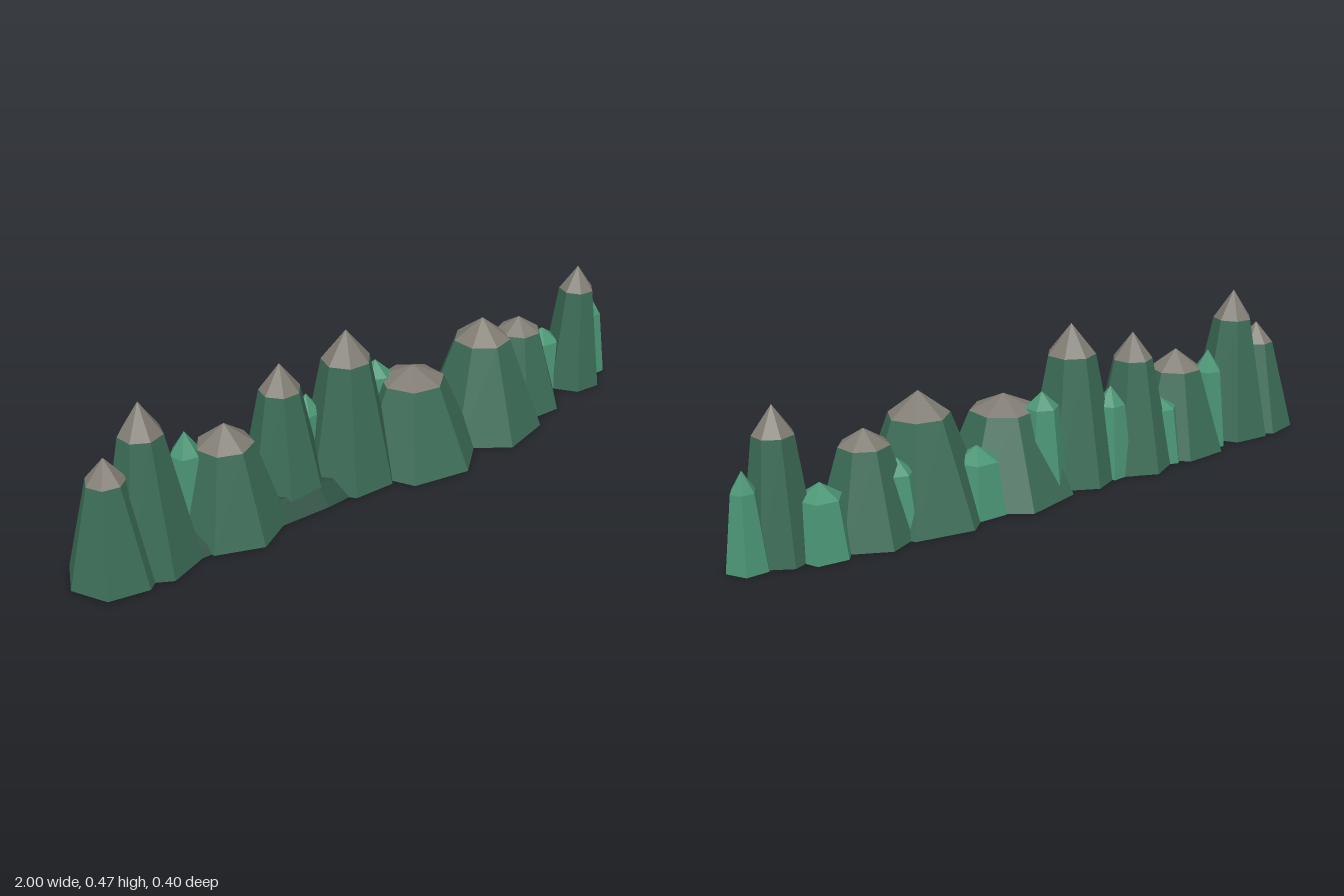
import * as THREE from 'three';

export function createModel() {
  const mat = (name, color) => {
    const m = new THREE.MeshStandardMaterial({ color, flatShading: true, side: THREE.DoubleSide });
    m.name = name;
    return m;
  };
  const forest = mat('forestGreen', 0x3b6b56);
  const light = mat('lightGreen', 0x4a9474);
  const rock = mat('greyRock', 0x807c73);
  const dark = mat('darkGreen', 0x2a4f40);

  const range = new THREE.Group();
  range.name = 'mountainRange';

  // Open flared slope with a matching faceted cap on top
  function peak(name, [x, z, height, shoulderY, shoulderR, baseR, turn], sides, slopeMat, capMat) {
    const group = new THREE.Group();
    group.name = name;
    const slope = new THREE.Mesh(
      new THREE.CylinderGeometry(shoulderR, baseR, shoulderY, sides, 1, true), slopeMat);
    slope.name = 'slope';
    slope.position.y = shoulderY / 2;
    const capH = height - shoulderY;
    const cap = new THREE.Mesh(new THREE.ConeGeometry(shoulderR, capH, sides, 1, true), capMat);
    cap.name = 'cap';
    cap.position.y = shoulderY + capH / 2;
    group.add(slope, cap);
    group.position.set(x, 0, z);
    group.rotation.y = turn;
    range.add(group);
  }

  // Main mountains: x, z, height, shoulder height, shoulder radius, base radius, turn
  [
    [-0.87, -0.03, 0.345, 0.28, 0.055, 0.13, -Math.PI / 2],
    [-0.76, -0.03, 0.465, 0.375, 0.06, 0.135, -0.1],
    [-0.515, -0.03, 0.315, 0.255, 0.08, 0.16, 0.05],
    [-0.305, -0.065, 0.41, 0.33, 0.06, 0.13, 0.45],
    [-0.1, -0.03, 0.462, 0.372, 0.072, 0.147, 0.4],
    [0.125, -0.005, 0.29, 0.245, 0.098, 0.205, 0.24],
    [0.41, -0.01, 0.355, 0.288, 0.087, 0.195, Math.PI + 0.25],
    [0.595, -0.035, 0.295, 0.25, 0.07, 0.147, 0.4],
    [0.84, -0.02, 0.405, 0.328, 0.055, 0.1, 0.35],
  ].forEach((p, i) => peak(`mountain${i + 1}`, p, 7, forest, rock));

  // Smaller light green peaks tucked behind
  [
    [-0.61, -0.075, 0.305, 0.24, 0.045, 0.07, 0.3],
    [-0.4, -0.09, 0.195, 0.165, 0.05, 0.075, 0.2],
    [-0.2, -0.09, 0.27, 0.215, 0.045, 0.07, 0.6],
    [0.05, -0.085, 0.3, 0.255, 0.05, 0.08, 0.1],
    [0.275, -0.085, 0.19, 0.15, 0.065, 0.09, 0.5],
    [0.525, -0.08, 0.21, 0.17, 0.045, 0.075, 0.2],
    [0.75, -0.075, 0.195, 0.155, 0.06, 0.085, 0.4],
    [0.94, -0.04, 0.26, 0.205, 0.034, 0.061, Math.PI / 2],
  ].forEach((p, i) => peak(`backPeak${i + 1}`, p, 6, light, light));

  // Long low mound running under the range
  const mound = new THREE.Mesh(new THREE.CylinderGeometry(0.45, 1, 0.05, 8), dark);
  mound.name = 'baseMound';
  mound.scale.set(0.71, 1, 0.085);
  mound.position.set(-0.26, 0.025, 0);
  range.add(mound);

  return range;
}
